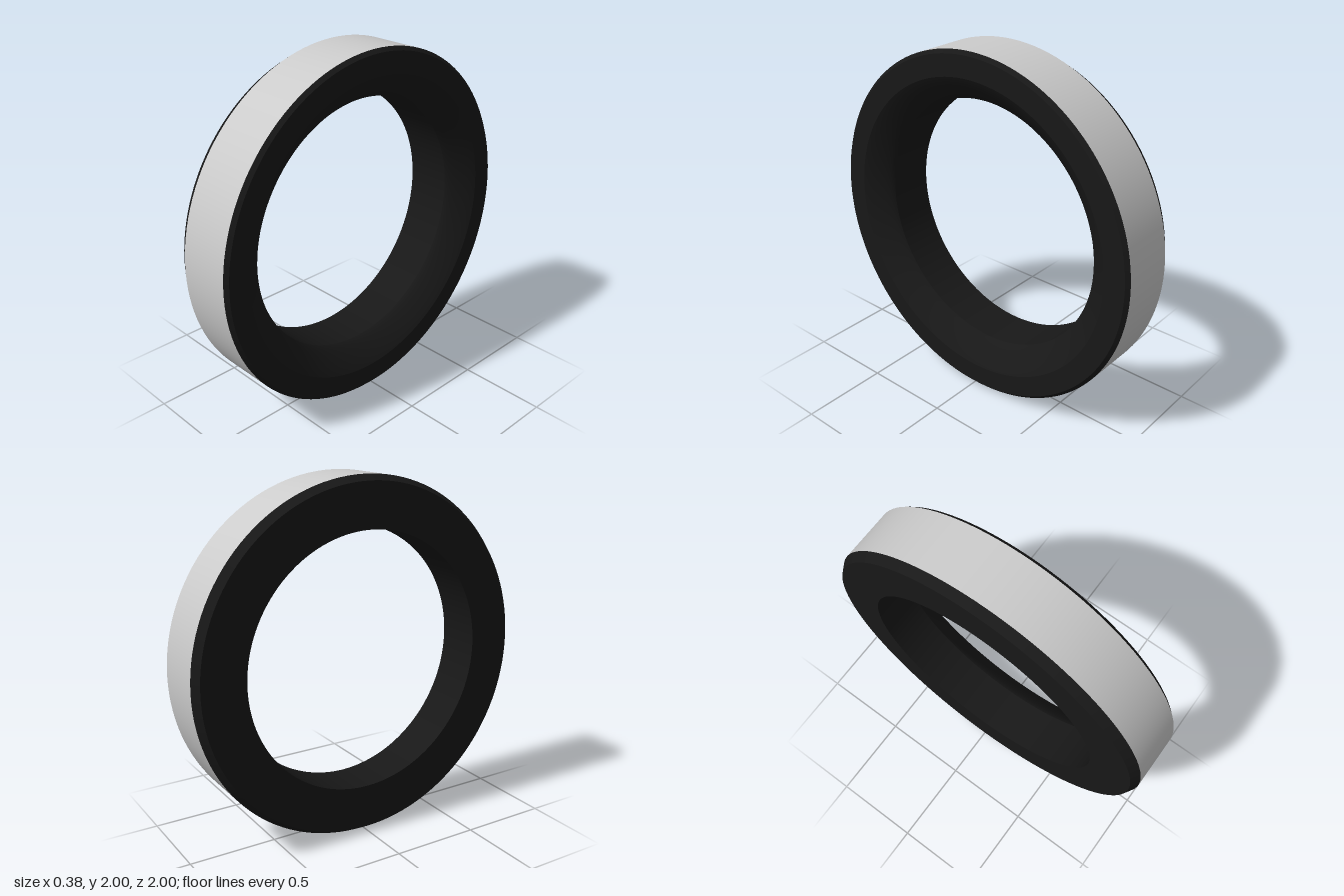
import * as THREE from 'three';

const SEGMENTS = 128;

// Spin a profile of [radius, x] points around the x axis
function ring(name, material, profile) {
  const points = profile.map(([r, x]) => new THREE.Vector2(r, x));
  const geometry = new THREE.LatheGeometry(points, SEGMENTS);
  geometry.rotateZ(-Math.PI / 2);
  const mesh = new THREE.Mesh(geometry, material);
  mesh.name = name;
  return mesh;
}

export function createModel() {
  const model = new THREE.Group();
  model.name = 'ring';
  const grey = new THREE.MeshStandardMaterial({ color: 0xcccccc });
  const black = new THREE.MeshStandardMaterial({ color: 0x181818 });

  const wheel = new THREE.Group();
  wheel.name = 'wheel';
  wheel.position.y = 1;
  model.add(wheel);

  // Outer grey band, flat across its width
  wheel.add(ring('outerBand', grey, [[1, -0.14], [1, 0.17]]));

  // Dark body, one ring per surface so the edges stay crisp
  wheel.add(ring('rightFace', black, [[0.72, -0.19], [0.97, -0.19]]));
  wheel.add(ring('rightChamfer', black, [[0.97, -0.19], [1, -0.14]]));
  wheel.add(ring('leftChamfer', black, [[1, 0.17], [0.98, 0.19]]));
  wheel.add(ring('leftFace', black, [[0.98, 0.19], [0.86, 0.19]]));

  // Rounded flare leading into the straight bore
  const flare = new THREE.CubicBezierCurve(
    new THREE.Vector2(0.86, 0.19), new THREE.Vector2(0.82, 0.17),
    new THREE.Vector2(0.73, 0.1), new THREE.Vector2(0.72, 0.07));
  wheel.add(ring('flare', black, flare.getPoints(10).map((p) => [p.x, p.y])));
  wheel.add(ring('bore', black, [[0.72, 0.07], [0.72, -0.19]]));

  return model;
}
